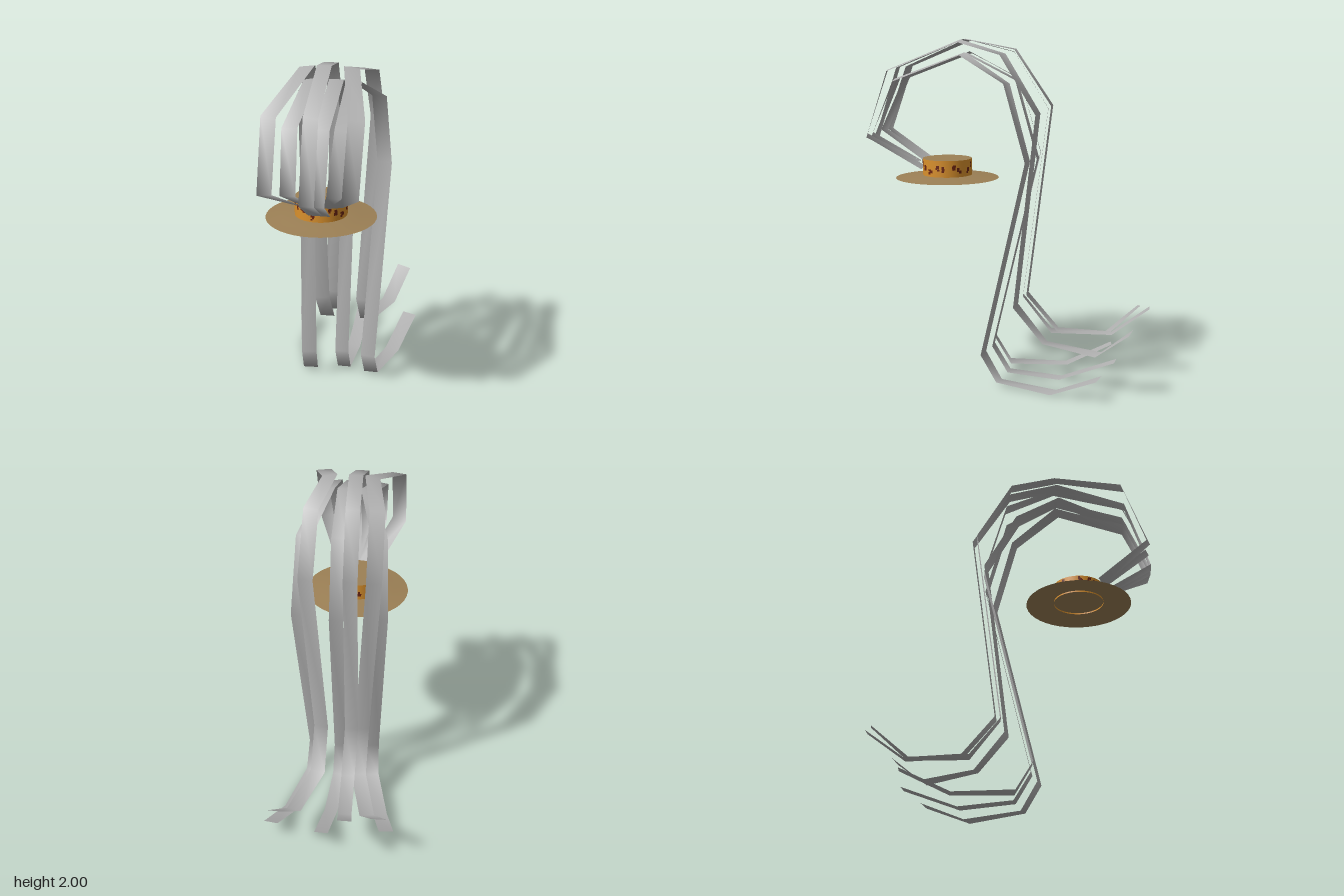
import * as THREE from 'three';

const mat = (name, color, side = THREE.DoubleSide) => {
  const m = new THREE.MeshStandardMaterial({ color, side });
  m.name = name;
  return m;
};

// Side outlines [z, y], running from the hat over the top and down to the tail tip
const upperOuter = [[0.53, 1.29], [0.807, 1.45], [0.675, 1.825], [0.275, 1.99], [0.01, 1.92],
  [-0.193, 1.59], [-0.056, 0.463], [-0.23, 0.25], [-0.553, 0.227], [-0.745, 0.39]];
const upperMiddle = [[0.53, 1.24], [0.818, 1.405], [0.68, 1.83], [0.278, 1.997], [-0.02, 1.94],
  [-0.235, 1.618], [-0.093, 0.49], [-0.278, 0.278], [-0.6, 0.267], [-0.82, 0.43]];
const lowerOuter = [[0.53, 1.29], [0.8, 1.45], [0.66, 1.766], [0.257, 1.918], [-0.02, 1.76],
  [-0.143, 1.325], [0.125, 0.183], [0.03, 0.022], [-0.304, 0.004], [-0.575, 0.13]];
const lowerMiddle = [[0.53, 1.24], [0.815, 1.405], [0.663, 1.768], [0.257, 1.92], [-0.04, 1.77],
  [-0.167, 1.32], [0.098, 0.188], [0.003, 0.03], [-0.31, 0.01], [-0.637, 0.14]];

// Each ribbon: name, side outline, sideways position at each joint, lean of its outer edge
const ribbons = [
  ['upperRightRibbon', upperOuter, [-0.15, -0.287, -0.285, -0.16, -0.21, -0.215, -0.15, -0.15, -0.23, -0.312], 1],
  ['upperMiddleRibbon', upperMiddle, [-0.075, -0.068, -0.067, -0.067, -0.08, -0.09, -0.09, -0.09, -0.105, -0.126], 0],
  ['upperLeftRibbon', upperOuter, [0.03, 0.155, 0.165, 0.08, 0.15, 0.16, 0.1, 0.1, 0.2, 0.277], -1],
  ['lowerRightRibbon', lowerOuter, [-0.11, -0.167, -0.18, -0.14, -0.23, -0.25, -0.2, -0.21, -0.29, -0.347], 1],
  ['lowerMiddleRibbon', lowerMiddle, [-0.035, -0.015, -0.012, -0.005, -0.005, -0.005, -0.005, -0.005, 0.01, 0.03], 0],
  ['lowerLeftRibbon', lowerOuter, [0, 0.075, 0.095, 0.09, 0.19, 0.21, 0.157, 0.165, 0.255, 0.337], -1],
];

// A flat strip swept along a jointed path
function ribbonGeometry(outline, xs, lean, width) {
  const pts = outline.map(([z, y], i) => new THREE.Vector3(xs[i], y, z));
  const pos = [], index = [];
  pts.forEach((p, i) => {
    const next = pts[Math.min(i + 1, pts.length - 1)];
    const prev = pts[Math.max(i - 1, 0)];
    const t = next.clone().sub(prev).normalize();
    const inward = new THREE.Vector3(0, t.z, -t.y).normalize();
    const across = new THREE.Vector3(1, 0, 0).addScaledVector(t, -t.x);
    if (i < 7) across.addScaledVector(inward, -0.17 * lean);
    across.normalize().multiplyScalar(width / 2);
    const a = p.clone().sub(across), b = p.clone().add(across);
    pos.push(a.x, a.y, a.z, b.x, b.y, b.z);
    if (i) {
      const k = 2 * i;
      index.push(k - 2, k, k - 1, k - 1, k, k + 1);
    }
  });
  const g = new THREE.BufferGeometry();
  g.setAttribute('position', new THREE.Float32BufferAttribute(pos, 3));
  g.setIndex(index);
  g.computeVertexNormals();
  return g;
}

export function createModel() {
  const root = new THREE.Group();
  root.name = 'ribbonsWithHat';
  const grey = mat('ribbonGrey', 0xb0b0b0);
  const tan = mat('hatTan', 0x9c8055);
  const orange = mat('bandOrange', 0xd9902c);
  const maroon = mat('spotMaroon', 0x6b2410);

  const add = (parent, name, geo, material, x = 0, y = 0, z = 0) => {
    const m = new THREE.Mesh(geo, material);
    m.name = name;
    m.position.set(x, y, z);
    parent.add(m);
    return m;
  };

  for (const [name, outline, xs, lean] of ribbons) {
    add(root, name, ribbonGeometry(outline, xs, lean, lean ? 0.087 : 0.08), grey);
  }

  // Hat
  const hat = new THREE.Group();
  hat.name = 'hat';
  hat.position.set(-0.07, 1.185, 0.388);
  root.add(hat);
  const R = 0.145, H = 0.115;
  const brim = [[0.305, 0], [0.22, 0.008], [0.145, 0.018], [0, 0.024]].map(([r, y]) => new THREE.Vector2(r, y));
  add(hat, 'brim', new THREE.LatheGeometry(brim, 40), tan);
  add(hat, 'band', new THREE.CylinderGeometry(R, R, H - 0.01, 40, 1, true), orange, 0, H / 2 + 0.005, 0);
  const top = add(hat, 'crownTop', new THREE.CircleGeometry(R, 40), tan, 0, H, 0);
  top.rotation.x = -Math.PI / 2;

  // Blotches: small stepped patches wrapped round the band
  let seed = 7;
  const rnd = () => (seed = (seed * 16807) % 2147483647) / 2147483647;
  const spots = new THREE.Group();
  spots.name = 'bandSpots';
  hat.add(spots);
  for (let i = 0; i < 20; i++) {
    const angle = (i + 0.5 * rnd()) / 20 * Math.PI * 2;
    const y = 0.04 + 0.055 * rnd();
    for (let j = 0; j < 3; j++) {
      const arc = 0.07 + 0.09 * rnd(), h = 0.009 + 0.011 * rnd();
      const patch = new THREE.CylinderGeometry(R + 0.002, R + 0.002, h, 3, 1, true,
        angle + (rnd() - 0.5) * 0.12, arc);
      add(spots, 'spot', patch, maroon, 0, y + (j - 1) * 0.009, 0);
    }
  }
  return root;
}
